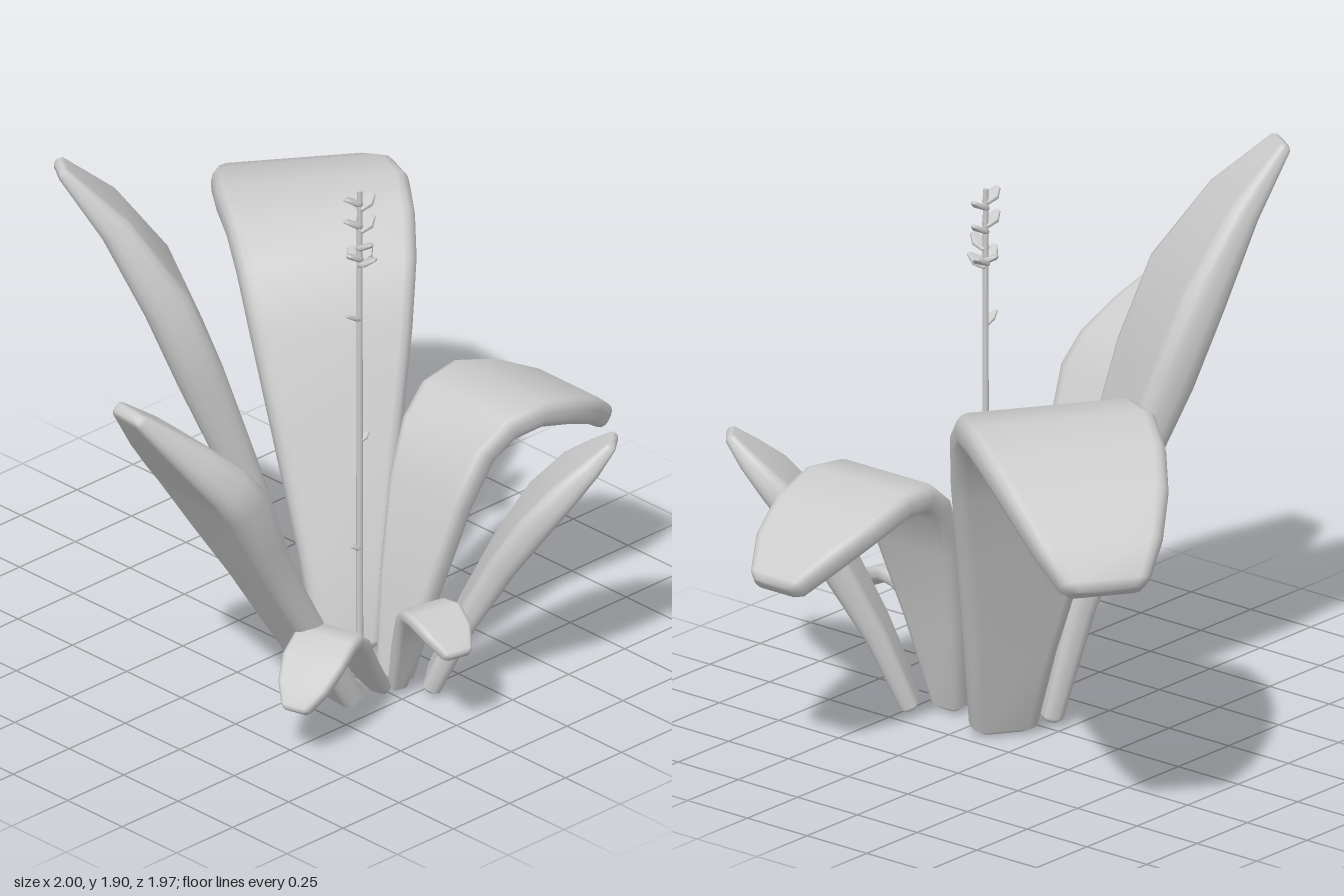
import * as THREE from 'three';

const material = new THREE.MeshStandardMaterial({ color: 0xcccccc });

// Cross-section of a leaf: a flat slab with rounded edges
function section(w, t) {
  const r = Math.min(t, w) * 0.75, pts = [];
  [[1, 1], [-1, 1], [-1, -1], [1, -1]].forEach(([sx, sy], q) => {
    for (let k = 0; k < 4; k++) {
      const a = (q + k / 3) * Math.PI / 2;
      pts.push([sx * (w - r) + r * Math.cos(a), sy * (t - r) + r * Math.sin(a)]);
    }
  });
  return pts;
}

// A leaf grows from base [x, z] towards heading [dx, dz]; its half thickness is
// t + k * half width; spine rows are [distance along heading, height, half width]
function leaf(name, [bx, bz], [hx, hz], [t, k], spine) {
  const d = new THREE.Vector3(hx, 0, hz).normalize();
  const side = new THREE.Vector3(-d.z, 0, d.x);
  const up = new THREE.Vector3(0, 1, 0);
  const last = spine.length - 1;

  const rows = spine.map(([r, y, w], i) => {
    const a = spine[Math.max(i - 1, 0)], b = spine[Math.min(i + 1, last)];
    const tan = new THREE.Vector2(b[0] - a[0], b[1] - a[1]).normalize();
    return { r, y, w, t: t + k * w, tan };
  });
  // Close both ends with a rounded rim
  const rim = (row, s, dw, ts) => ({
    ...row, r: row.r + row.tan.x * s * row.t, y: row.y + row.tan.y * s * row.t,
    w: Math.max(row.w - dw * row.t, row.w * 0.5), t: row.t * ts,
  });
  const rings = [
    rim(rows[0], -0.45, 0.7, 0.5), rim(rows[0], 0, 0.15, 0.9),
    ...rows.slice(1, last),
    rim(rows[last], 0, 0.1, 0.9), rim(rows[last], 0.45, 0.6, 0.5),
  ];

  const pos = [], index = [], n = 16;
  const put = (row, u, v) => {
    const p = new THREE.Vector3(bx, 0, bz)
      .addScaledVector(d, row.r - row.tan.y * v)
      .addScaledVector(up, row.y + row.tan.x * v)
      .addScaledVector(side, u);
    pos.push(p.x, p.y, p.z);
  };
  rings.forEach((row) => section(row.w, row.t).forEach(([u, v]) => put(row, u, v)));
  for (let i = 0; i < rings.length - 1; i++) {
    for (let j = 0; j < n; j++) {
      const a = i * n + j, c = i * n + (j + 1) % n;
      index.push(a, a + n, c, c, a + n, c + n);
    }
  }
  // End caps
  const first = rings.length * n, end = (rings.length - 1) * n;
  put(rings[0], 0, 0);
  put(rings[rings.length - 1], 0, 0);
  for (let j = 0; j < n; j++) {
    const next = (j + 1) % n;
    index.push(first, j, next, first + 1, end + next, end + j);
  }
  const geo = new THREE.BufferGeometry();
  geo.setAttribute('position', new THREE.Float32BufferAttribute(pos, 3));
  geo.setIndex(index);
  geo.computeVertexNormals();
  const mesh = new THREE.Mesh(geo, material);
  mesh.name = name;
  return mesh;
}

// Thin stem with small bracts and a cluster of petals at the top
function flowerStalk() {
  const group = new THREE.Group();
  group.name = 'flowerStalk';
  const x = 0.315, z = 0.01;
  const stem = new THREE.Mesh(new THREE.CylinderGeometry(0.009, 0.012, 1.75, 8), material);
  stem.name = 'stem';
  stem.position.set(x, 0.9, z);
  group.add(stem);

  const petal = (name, y, hx, hz, len, w) => group.add(leaf(name, [x, z], [hx, hz], [0.004, 0.2], [
    [0, y, w * 0.6], [len * 0.5, y + len * 0.25, w], [len, y + len * 0.55, w * 0.4],
  ]));
  // [height, heading x, heading z, length]
  [[1.73, 0, 1, 0.06], [1.71, 0, -1, 0.06], [1.65, 0, 1, 0.06], [1.63, 0, -1, 0.06],
    [1.57, 1, 0.2, 0.065], [1.53, 0.2, 1, 0.06], [1.52, -0.2, -1, 0.06],
    [1.53, -1, 0, 0.045], [1.51, 1, -0.2, 0.06]]
    .forEach(([y, hx, hz, len]) => petal('petal', y, hx, hz, len, 0.028));
  // Bracts down the stem
  [[1.31, 0.1, 1, 0.06], [0.87, 0.1, -1, 0.035], [0.48, 0, 1, 0.035]]
    .forEach(([y, hx, hz, len]) => petal('bract', y, hx, hz, len, 0.015));
  return group;
}

export function createModel() {
  const model = new THREE.Group();
  model.name = 'plant';
  model.add(
    leaf('largeDroopingLeaf', [0.155, -0.1], [-0.82, -0.575], [0.06, 0], [
      [0.02, 0.035, 0.12], [0.11, 0.32, 0.15], [0.25, 0.68, 0.21], [0.36, 0.97, 0.26],
      [0.46, 1.16, 0.29], [0.58, 1.25, 0.305], [0.75, 1.272, 0.315], [0.92, 1.235, 0.3],
      [1.08, 1.16, 0.265], [1.21, 1.05, 0.21], [1.285, 0.955, 0.155]]),
    leaf('tallLeaf', [0.12, 0.05], [-0.54, 0.84], [0.002, 0.34], [
      [0.02, 0.03, 0.105], [0.11, 0.4, 0.13], [0.245, 0.8, 0.17], [0.385, 1.17, 0.225],
      [0.495, 1.44, 0.225], [0.65, 1.7, 0.15], [0.805, 1.88, 0.065]]),
    leaf('frontLeaf', [0.34, 0.13], [-0.108, 0.994], [0.002, 0.34], [
      [0.01, 0.03, 0.125], [0.15, 0.27, 0.135], [0.3, 0.53, 0.155], [0.41, 0.73, 0.195],
      [0.515, 0.93, 0.235], [0.585, 1.02, 0.225], [0.68, 1.12, 0.18], [0.845, 1.29, 0.08]]),
    leaf('backLeaf', [0.395, 0], [0, -1], [0.046, 0], [
      [0.07, 0.03, 0.07], [0.14, 0.33, 0.115], [0.23, 0.63, 0.165], [0.31, 0.79, 0.19],
      [0.4, 0.86, 0.21], [0.53, 0.872, 0.222], [0.68, 0.825, 0.213], [0.82, 0.755, 0.17],
      [0.925, 0.675, 0.11]]),
    leaf('rightBackLeaf', [0.5, -0.13], [0.78, -0.62], [0.003, 0.31], [
      [0.01, 0.03, 0.1], [0.12, 0.28, 0.115], [0.24, 0.5, 0.145], [0.345, 0.66, 0.165],
      [0.445, 0.78, 0.145], [0.525, 0.86, 0.1], [0.585, 0.925, 0.055]]),
    leaf('smallSideLeaf', [0.44, -0.025], [0.98, 0.23], [0.024, 0], [
      [0.02, 0.03, 0.035], [0.08, 0.2, 0.055], [0.14, 0.33, 0.075], [0.19, 0.375, 0.09],
      [0.25, 0.385, 0.097], [0.33, 0.355, 0.085], [0.39, 0.31, 0.055]]),
    leaf('smallFrontLeaf', [0.43, 0.03], [0.26, 0.965], [0.025, 0], [
      [0.0, 0.03, 0.04], [0.11, 0.16, 0.06], [0.21, 0.29, 0.085], [0.28, 0.345, 0.1],
      [0.34, 0.35, 0.11], [0.42, 0.305, 0.11], [0.48, 0.245, 0.09], [0.525, 0.19, 0.055]]),
    flowerStalk(),
  );
  return model;
}
